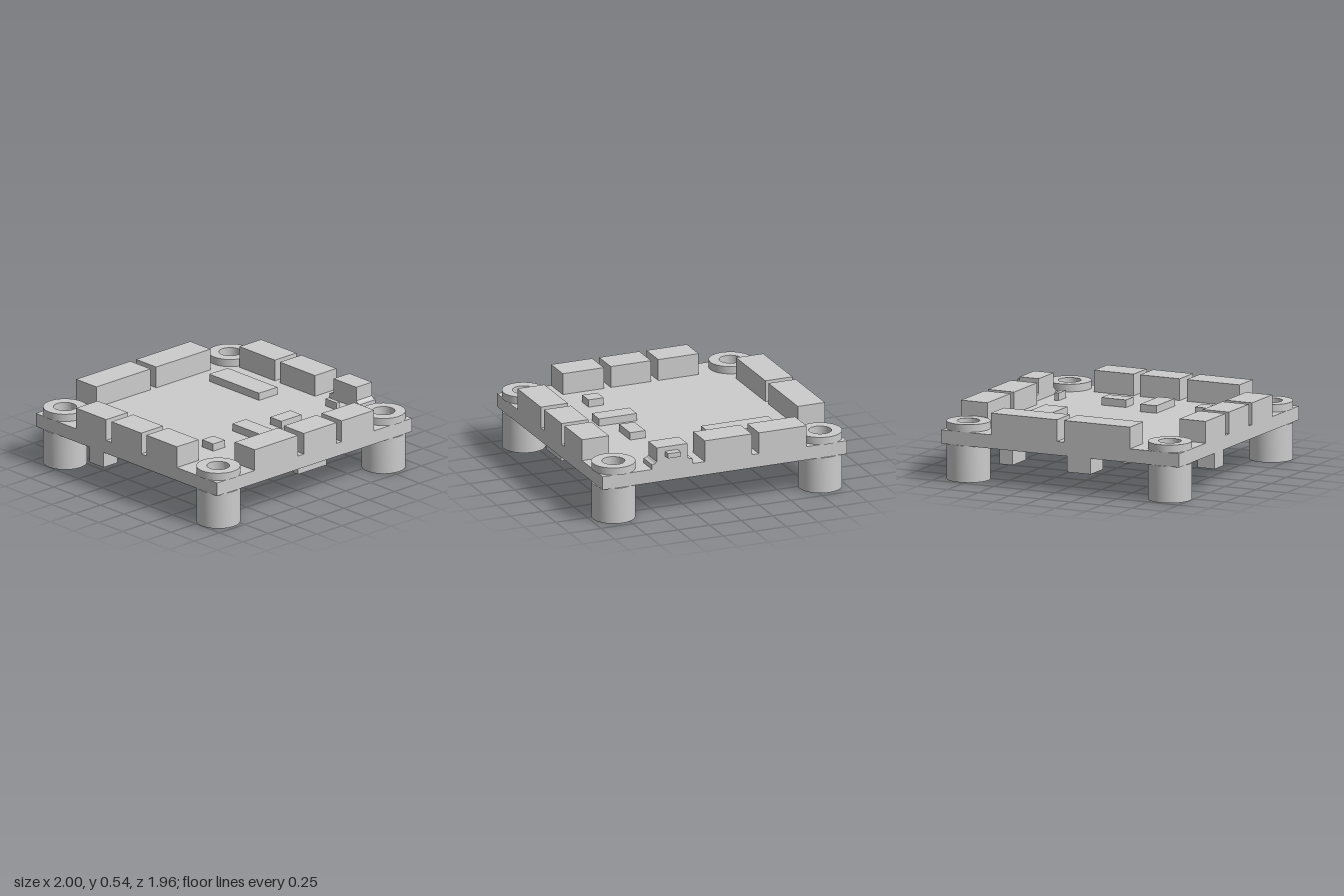
import * as THREE from 'three';
import { toCreasedNormals } from 'three/addons/utils/BufferGeometryUtils.js';

const BOTTOM = 0.272, TOP = 0.374; // board faces
const BORE = 0.083, RING = 0.16;
const HOLES = [[-0.84, -0.82], [0.797, -0.82], [-0.84, 0.815], [0.797, 0.815]];

export function createModel() {
  const model = new THREE.Group();
  const material = new THREE.MeshStandardMaterial({ color: 0xcccccc });

  const add = (name, geometry) => {
    const mesh = new THREE.Mesh(geometry, material);
    mesh.name = name;
    model.add(mesh);
    return mesh;
  };
  // Box given by its limits on each axis
  const box = (name, x0, x1, y0, y1, z0, z1) =>
    add(name, new THREE.BoxGeometry(x1 - x0, y1 - y0, z1 - z0))
      .position.set((x0 + x1) / 2, (y0 + y1) / 2, (z0 + z1) / 2);
  const circle = (x, y, r) => new THREE.Path().absarc(x, y, r, 0, Math.PI * 2, true);
  // Upright plate from a shape drawn in x and -z
  const plate = (shape, y0, y1) => {
    const g = new THREE.ExtrudeGeometry(shape, { depth: y1 - y0, bevelEnabled: false, curveSegments: 32 });
    g.rotateX(-Math.PI / 2).translate(0, y0, 0);
    return toCreasedNormals(g, 0.6);
  };

  // Circuit board with four mounting holes
  const outline = new THREE.Shape([[-0.99, -0.963], [0.943, -0.963], [0.943, 0.97], [-0.99, 0.97]]
    .map(([x, y]) => new THREE.Vector2(x, y)));
  for (const [x, z] of HOLES) outline.holes.push(circle(x, -z, BORE));
  add('board', plate(outline, BOTTOM, TOP));

  // Standoff below and grommet ring above each hole
  const ring = new THREE.Shape().absarc(0, 0, RING, 0, Math.PI * 2, false);
  ring.holes.push(circle(0, 0, BORE));
  const standoff = plate(ring, 0, BOTTOM), grommet = plate(ring, TOP, 0.43);
  for (const [x, z] of HOLES) {
    add('standoff', standoff).position.set(x, 0, z);
    add('grommet', grommet).position.set(x, 0, z);
  }

  // Tall connectors along the four edges: x0, x1, z0, z1
  const connectors = [
    [-0.59, -0.053, -0.97, -0.755], [0.003, 0.54, -0.97, -0.755],
    [-0.99, -0.775, -0.54, -0.22], [-0.99, -0.775, -0.163, 0.155], [-0.99, -0.775, 0.21, 0.535],
    [0.73, 0.943, -0.65, -0.273], [0.73, 0.943, -0.217, 0.155],
    [-0.617, -0.187, 0.75, 0.963], [-0.13, 0.193, 0.75, 0.963], [0.245, 0.567, 0.75, 0.963],
  ];
  for (const [x0, x1, z0, z1] of connectors) box('edgeConnector', x0, x1, TOP, 0.535, z0, z1);

  // Low chips on the upper face
  const chips = [
    [-0.57, -0.455, 0.35, 0.47], [-0.187, -0.053, 0.262, 0.56], [0.105, 0.305, 0.35, 0.47],
    [0.653, 0.687, 0.35, 0.47], [0.375, 0.557, -0.59, -0.06],
  ];
  for (const [x0, x1, z0, z1] of chips) box('topChip', x0, x1, TOP, 0.43, z0, z1);

  // Slide switch: body with side feet, and its knob
  const profile = [[0.25, TOP], [0.25, 0.41], [0.275, 0.415], [0.293, 0.43], [0.293, 0.535],
    [0.535, 0.535], [0.535, 0.43], [0.55, 0.415], [0.572, 0.41], [0.572, TOP]];
  const body = new THREE.ExtrudeGeometry(
    new THREE.Shape(profile.map(([z, y]) => new THREE.Vector2(-z, y))),
    { depth: 0.156, bevelEnabled: false });
  body.rotateY(Math.PI / 2).translate(0.787, 0, 0);
  add('switchBody', body);
  box('switchKnob', 0.943, 1, 0.463, 0.5, 0.37, 0.47);

  // Parts on the underside: main processor and small chips
  box('processor', -0.396, 0.36, 0.217, BOTTOM, -0.373, 0.38);
  const lowChips = [
    [-0.483, -0.42, -0.77, -0.605], [0.385, 0.42, 0.66, 0.71], [-0.16, 0.12, 0.885, 0.935],
    [-0.06, 0.06, 0.605, 0.72], [-0.35, -0.30, 0.76, 0.82], [-0.63, -0.5, 0.605, 0.735],
  ];
  for (const [x0, x1, z0, z1] of lowChips) box('bottomChip', x0, x1, 0.217, BOTTOM, z0, z1);

  // Deeper sockets on the underside
  const sockets = [[0.385, 0.49, -0.93, -0.71], [-0.27, -0.08, -0.97, -0.77], [-0.99, -0.85, -0.395, -0.25]];
  for (const [x0, x1, z0, z1] of sockets) box('bottomSocket', x0, x1, 0.155, BOTTOM, z0, z1);

  return model;
}
